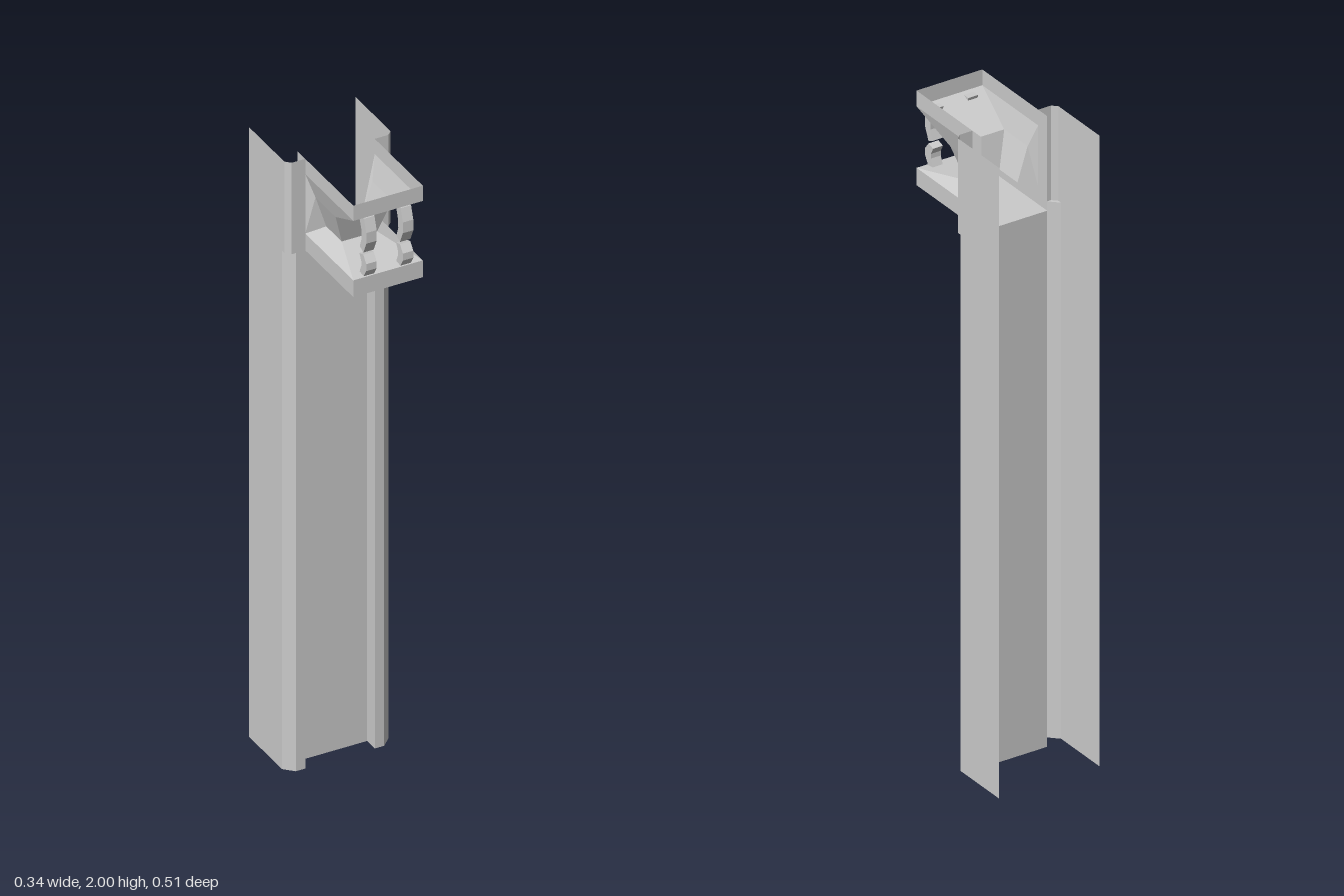
import * as THREE from 'three';

const material = new THREE.MeshStandardMaterial({ color: 0xcccccc, flatShading: true, side: THREE.DoubleSide });

// Flat polygons given as lists of convex corners, fanned into triangles
function sheet(name, polygons) {
  const pos = [];
  for (const p of polygons)
    for (let i = 1; i < p.length - 1; i++) pos.push(...p[0], ...p[i], ...p[i + 1]);
  const geo = new THREE.BufferGeometry();
  geo.setAttribute('position', new THREE.Float32BufferAttribute(pos, 3));
  geo.computeVertexNormals();
  const mesh = new THREE.Mesh(geo, material);
  mesh.name = name;
  return mesh;
}

// Vertical wall along a plan path of [x, z] points
function wall(name, path, y0, y1) {
  const quads = path.slice(1).map(([x, z], i) => {
    const [px, pz] = path[i];
    return [[px, y0, pz], [x, y0, z], [x, y1, z], [px, y1, pz]];
  });
  return sheet(name, quads);
}

// Mirror a list of polygons across x, keeping the winding
const mirrored = polys => polys.map(p => p.map(([x, y, z]) => [-x, y, z]).reverse());

// Polygon symmetric in x from points on the +x side
const across = (a, b) => [[-a[0], a[1], a[2]], a, b, [-b[0], b[1], b[2]]];

// Clip cut from a side profile of [z, y] points
function clip(name, profile, x, width) {
  const shape = new THREE.Shape(profile.map(([z, y]) => new THREE.Vector2(-z, y)));
  const geo = new THREE.ExtrudeGeometry(shape, { depth: width, bevelEnabled: false });
  geo.rotateY(Math.PI / 2).translate(x - width / 2, 0, 0);
  const mesh = new THREE.Mesh(geo, material);
  mesh.name = name;
  return mesh;
}

export function createModel() {
  const model = new THREE.Group();
  model.name = 'pillarWithHolder';

  const W = 0.168, IN = 0.11, FRONT = -0.035, PANEL = -0.08, BACK = -0.255;
  const FLOOR = 1.7, TOP = 2, LIP = 0.245;

  // Pillar: open at the back, with wider chamfers below the holder
  model.add(wall('recessedPanel', [[-IN, PANEL], [IN, PANEL]], 0, FLOOR));
  for (const s of [1, -1]) {
    const side = s > 0 ? 'left' : 'right';
    const plan = pts => pts.map(([x, z]) => [s * x, z]);
    model.add(wall(side + 'LowerColumn',
      plan([[IN, PANEL], [IN, FRONT], [0.14, FRONT], [W, -0.063], [W, BACK]]), 0, FLOOR));
    model.add(wall(side + 'UpperColumn',
      plan([[IN, PANEL], [IN, FRONT], [0.153, FRONT], [W, -0.05], [W, BACK]]), FLOOR, TOP));
    model.add(sheet(side + 'ChamferLedge', [
      plan([[0.14, FRONT], [0.153, FRONT], [W, -0.05], [W, -0.063]]).map(([x, z]) => [x, FLOOR, z])]));
  }

  // Holder key points on the +x side
  const rimFront = [IN, TOP, LIP], lipFront = [IN, 1.95, LIP];
  const rimBack = [IN, TOP, FRONT], lipBack = [IN, 1.95, FRONT];
  const midFront = [0.09, 1.88, 0.105], midBack = [0.09, 1.88, -0.012];
  const neckFront = [0.056, 1.775, 0.078], neckBack = [0.056, 1.775, -0.012];
  const trayFront = [IN, 1.755, LIP], trayBack = [IN, 1.755, FRONT];
  const floorFront = [IN, FLOOR, LIP], floorBack = [IN, FLOOR, FRONT];

  // Upper hopper, open on top and at the back
  const hopperSide = [
    [rimFront, rimBack, lipBack, lipFront],
    [lipFront, midBack, midFront],
    [lipFront, lipBack, midBack],
    [midFront, midBack, neckBack, neckFront],
    [lipBack, trayBack, neckBack, midBack],
  ];
  model.add(sheet('hopper', [
    ...hopperSide, ...mirrored(hopperSide),
    across(lipFront, rimFront), across(midFront, lipFront), across(neckFront, midFront),
  ]));

  // Lower tray with a sloped top and flat floor
  const traySide = [
    [floorFront, floorBack, trayBack, trayFront],
    [trayFront, trayBack, neckBack, neckFront],
  ];
  model.add(sheet('tray', [
    ...traySide, ...mirrored(traySide),
    across(floorFront, trayFront), across(trayFront, neckFront),
    across([IN, FLOOR, PANEL], floorFront),
  ]));

  // Pairs of curved clips at the mouth of the holder
  const upper = [[0.212, 1.945], [0.242, 1.945], [0.255, 1.905], [0.255, 1.87],
    [0.238, 1.832], [0.217, 1.842], [0.228, 1.873], [0.227, 1.9]];
  const lower = [[0.215, 1.755], [0.24, 1.755], [0.255, 1.78], [0.255, 1.803],
    [0.238, 1.825], [0.215, 1.818], [0.226, 1.797], [0.226, 1.782]];
  for (const s of [1, -1]) {
    const side = s > 0 ? 'left' : 'right';
    model.add(clip(side + 'UpperClip', upper, s * 0.058, 0.033));
    model.add(clip(side + 'LowerClip', lower, s * 0.058, 0.033));
  }
  return model;
}
